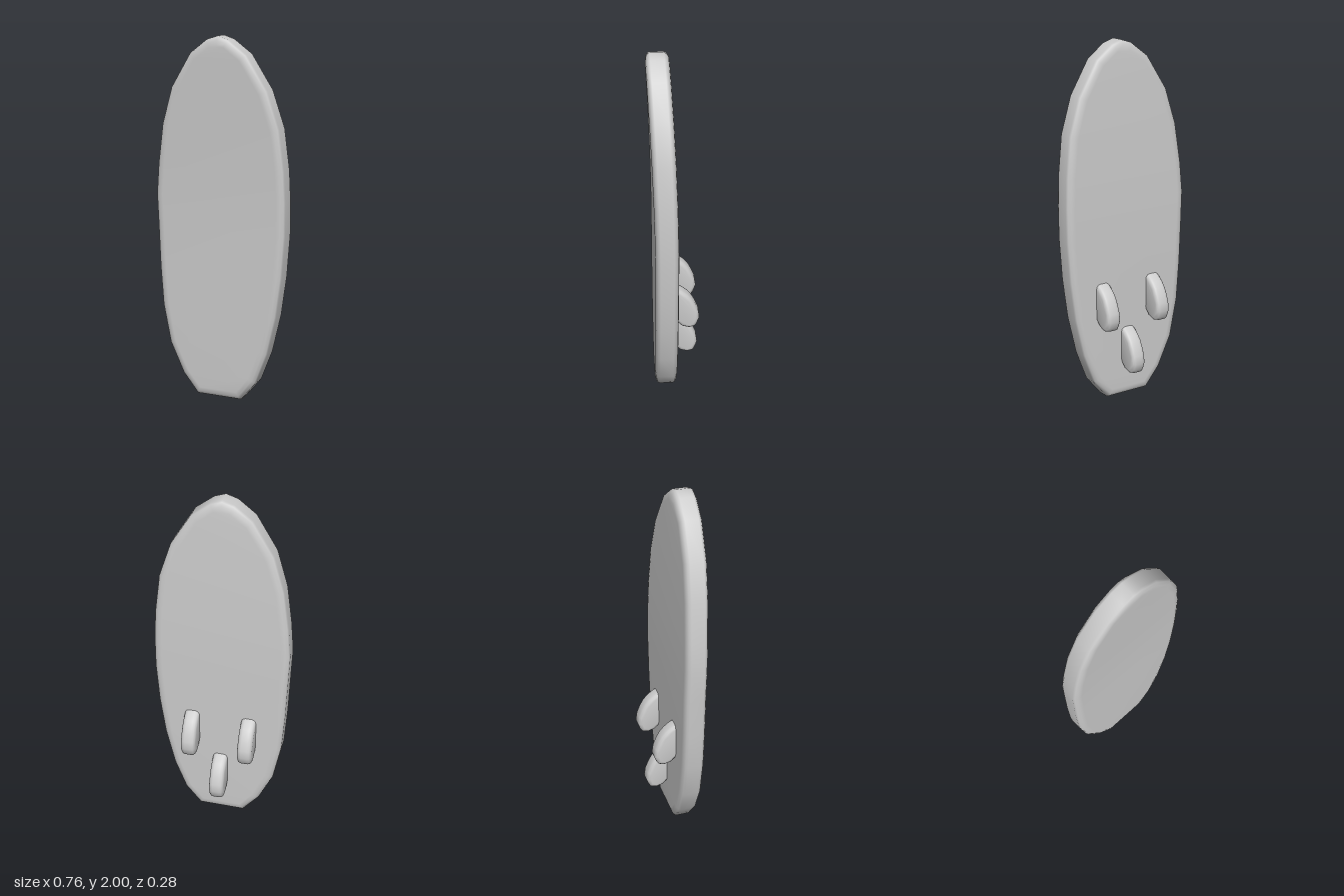
import * as THREE from 'three';
import { toCreasedNormals } from 'three/addons/utils/BufferGeometryUtils.js';

const material = new THREE.MeshStandardMaterial({ color: 0xcccccc });

// Outline stations: [y, left edge x, right edge x], from tail to nose
const stations = [
  [0.005, -0.135, 0.125], [0.115, -0.225, 0.215], [0.285, -0.305, 0.28],
  [0.5, -0.348, 0.33], [0.72, -0.364, 0.36], [0.95, -0.373, 0.377],
  [1.13, -0.38, 0.378], [1.3, -0.366, 0.371], [1.52, -0.335, 0.345],
  [1.72, -0.275, 0.28], [1.905, -0.16, 0.165], [1.98, -0.06, 0.065],
];

// Rounded rail: [inset from the outline, z], from front face to back face
const rail = [
  [0.045, 0.104], [0.022, 0.099], [0.006, 0.09], [0, 0.077],
  [0, 0.004], [0.006, -0.009], [0.022, -0.018], [0.045, -0.022],
];

// Forward bend of the nose
const rocker = (y) => 0.037 * Math.pow(Math.max(0, y - 0.95) / 1.05, 1.6);

// Move every outline point inward by distance d along its mitred normal
function inset(points, d) {
  const n = points.length;
  return points.map((p, i) => {
    const a = p.clone().sub(points[(i + n - 1) % n]).normalize();
    const b = points[(i + 1) % n].clone().sub(p).normalize();
    const na = new THREE.Vector2(-a.y, a.x);
    const nb = new THREE.Vector2(-b.y, b.x);
    return na.clone().add(nb).multiplyScalar(d / (1 + na.dot(nb))).add(p);
  });
}

function boardGeometry() {
  const N = stations.length;
  const outline = [
    ...stations.map(([y, , r]) => new THREE.Vector2(r, y)),
    new THREE.Vector2(0.005, 2),
    ...stations.map(([y, l]) => new THREE.Vector2(l, y)).reverse(),
  ];
  const n = outline.length;
  const position = [];
  const index = [];
  for (const [d, z] of rail) {
    for (const p of inset(outline, d)) position.push(p.x, p.y, z + rocker(p.y));
  }
  // Rails
  for (let k = 0; k < rail.length - 1; k++) {
    for (let i = 0; i < n; i++) {
      const a = k * n + i, b = k * n + (i + 1) % n;
      index.push(a, a + n, b, b, a + n, b + n);
    }
  }
  // Front and back faces, joined left to right
  const back = (rail.length - 1) * n;
  for (let i = 0; i < N; i++) {
    const r0 = i, r1 = i + 1, l0 = 2 * N - i, l1 = 2 * N - i - 1;
    index.push(l0, r0, r1);
    index.push(back + l0, back + r1, back + r0);
    if (i < N - 1) {
      index.push(l0, r1, l1);
      index.push(back + l0, back + l1, back + r1);
    }
  }
  const geometry = new THREE.BufferGeometry();
  geometry.setAttribute('position', new THREE.Float32BufferAttribute(position, 3));
  geometry.setIndex(index);
  geometry.computeVertexNormals();
  return geometry;
}

// Swept-back fin: side profile with rounded edges, root at y = 0
function finGeometry() {
  const profile = [
    [-0.01, 0.04], [0.02, 0.012], [0.045, -0.013], [0.085, -0.024], [0.118, -0.015],
    [0.129, 0.003], [0.142, 0.04], [0.135, 0.085], [0.117, 0.13], [0.098, 0.165],
    [0.075, 0.192], [0.045, 0.216], [0.01, 0.236], [-0.01, 0.245],
  ];
  const shape = new THREE.Shape(profile.map(([u, v]) => new THREE.Vector2(u, v)));
  const depth = 0.036;
  const geometry = new THREE.ExtrudeGeometry(shape, {
    depth, bevelEnabled: true, bevelThickness: 0.024, bevelSize: 0.022,
    bevelOffset: -0.022, bevelSegments: 3,
  });
  geometry.translate(0, 0, -depth / 2);
  geometry.rotateY(Math.PI / 2);
  return toCreasedNormals(geometry, 1.0);
}

export function createModel() {
  const group = new THREE.Group();
  group.name = 'surfboard';

  const board = new THREE.Mesh(boardGeometry(), material);
  board.name = 'board';
  group.add(board);

  // Two side fins and a lower centre fin
  const fin = finGeometry();
  const fins = [['leftFin', 0.163, 0.46], ['rightFin', -0.163, 0.46], ['centreFin', 0, 0.18]];
  for (const [name, x, y] of fins) {
    const mesh = new THREE.Mesh(fin, material);
    mesh.name = name;
    mesh.position.set(x, y, 0);
    group.add(mesh);
  }
  return group;
}
